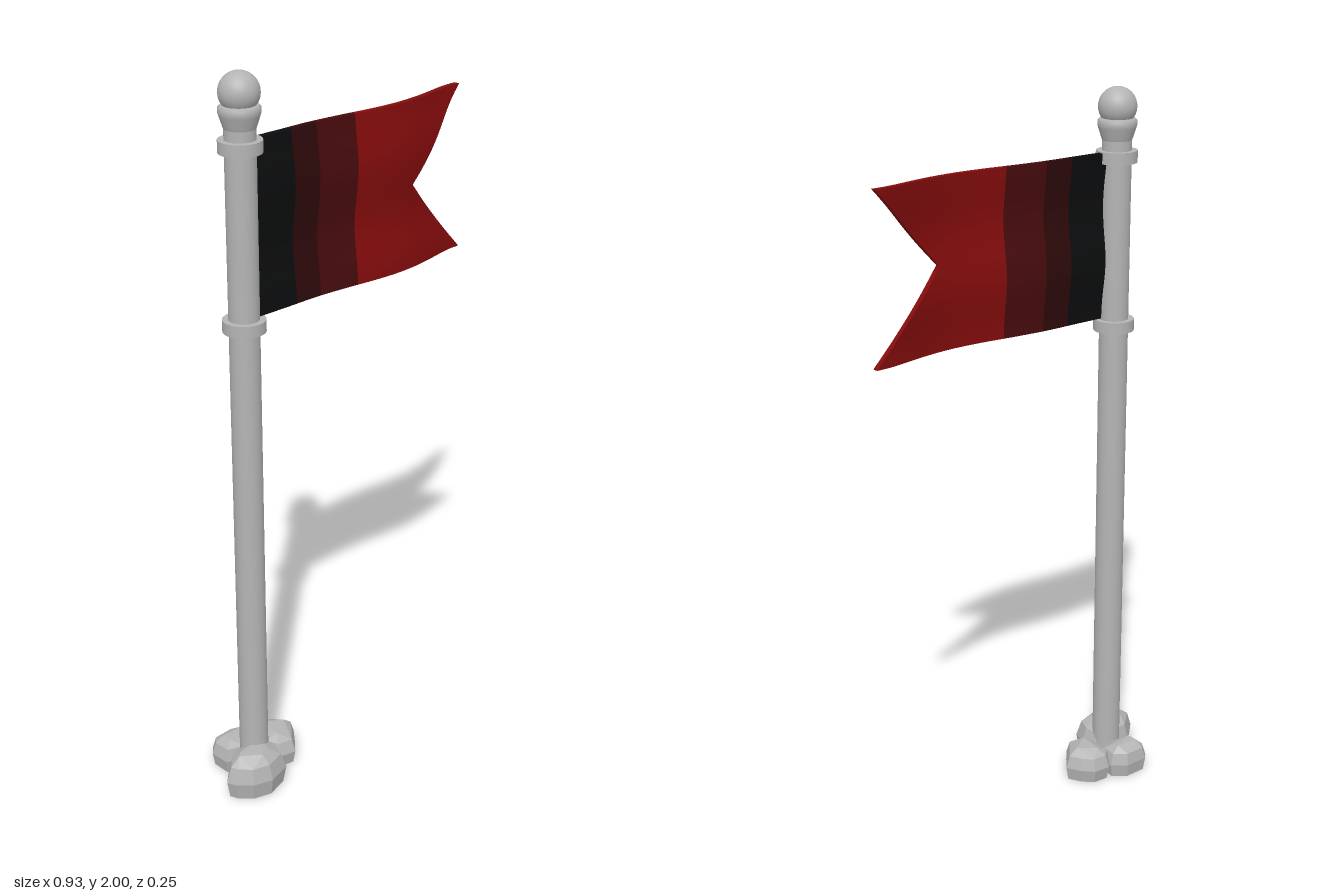
import * as THREE from 'three';
import { ConvexGeometry } from 'three/addons/geometries/ConvexGeometry.js';

const mat = (name, color) => {
  const m = new THREE.MeshStandardMaterial({ color });
  m.name = name;
  return m;
};

const POLE_X = -0.33, POLE_Z = 0.005;
const BOTTOM = 1.375, TOP = 1.83, THICK = 0.016;

// Centre line of the cloth, seen from above (x, z)
const wave = new THREE.SplineCurve([
  [-0.32, 0.013], [-0.2, 0.012], [-0.1, 0.01], [0, 0.016], [0.09, 0.025], [0.17, 0.029],
  [0.24, 0.025], [0.31, 0.014], [0.39, -0.004], [0.43, -0.01], [0.47, -0.011],
].map(([x, z]) => new THREE.Vector2(x, z))).getPoints(200);

function clothZ(x, y) {
  let i = 1;
  while (i < wave.length - 1 && wave[i].x < x) i++;
  const a = wave[i - 1], b = wave[i];
  const z = a.y + (b.y - a.y) * (x - a.x) / (b.x - a.x);
  return z + 0.007 * Math.cos((2 * Math.PI * (y - 1.69)) / 0.31);
}

// A cloth strip from x0 to x1(y), bent from a box
function strip(x0, x1, columns) {
  const g = new THREE.BoxGeometry(1, 1, 1, columns, 24, 1);
  const p = g.attributes.position;
  for (let i = 0; i < p.count; i++) {
    const v = p.getY(i) * 2;
    const y = (BOTTOM + TOP) / 2 + v * (TOP - BOTTOM) / 2;
    const x = x0 + (x1(Math.abs(v)) - x0) * (p.getX(i) + 0.5);
    p.setXYZ(i, x, y, clothZ(x, y) + p.getZ(i) * THICK);
  }
  g.computeVertexNormals();
  return g;
}

// A boulder: an outline (x, z) widened at mid height and narrowed at the top
function rock(outline, height) {
  const n = outline.length;
  const cx = outline.reduce((s, p) => s + p[0], 0) / n;
  const cz = outline.reduce((s, p) => s + p[1], 0) / n;
  const points = [];
  for (const [level, scale] of [[0, 0.9], [0.42, 1], [0.8, 0.84], [1, 0.5]]) {
    outline.forEach(([x, z], i) => {
      const drop = level === 1 ? 0.006 * (i % 3) : 0;
      points.push(new THREE.Vector3(cx + (x - cx) * scale, height * level - drop, cz + (z - cz) * scale));
    });
  }
  return new ConvexGeometry(points);
}

export function createModel() {
  const model = new THREE.Group();
  model.name = 'flagOnPole';
  const stone = mat('grey', 0xb4b4b4);
  const add = (name, geometry, material, x = 0, y = 0, z = 0) => {
    const mesh = new THREE.Mesh(geometry, material);
    mesh.name = name;
    mesh.position.set(x, y, z);
    model.add(mesh);
  };

  // Pole, flared neck and ball
  add('pole', new THREE.CylinderGeometry(0.04, 0.04, 1.87, 32), stone, POLE_X, 0.935, POLE_Z);
  const neck = [[0.04, 1.86], [0.043, 1.868], [0.051, 1.893], [0.053, 1.9], [0.053, 1.912], [0.047, 1.918], [0, 1.918]];
  add('neck', new THREE.LatheGeometry(neck.map(([r, y]) => new THREE.Vector2(r, y)), 32), stone, POLE_X, 0, POLE_Z);
  add('ball', new THREE.SphereGeometry(0.052, 32, 20), stone, POLE_X, 1.948, POLE_Z);

  // Rings holding the flag
  for (const [name, y] of [['upperRing', 1.817], ['lowerRing', 1.355]]) {
    add(name, new THREE.CylinderGeometry(0.056, 0.056, 0.032, 24), stone, POLE_X, y, POLE_Z);
  }

  // Cloth in four colours, the last strip with a swallow tail
  add('blackStrip', strip(-0.3, () => -0.17, 6), mat('black', 0x0c0d0e));
  add('darkStrip', strip(-0.17, () => -0.085, 5), mat('blackish red', 0x2e0a0b));
  add('maroonStrip', strip(-0.085, () => 0.04, 7), mat('maroon', 0x480b0d));
  add('swallowTail', strip(0.04, (v) => 0.245 + 0.216 * v, 20), mat('red', 0x850c0c));

  // Boulders round the foot
  add('frontRock', rock([[-0.465, 0.045], [-0.455, 0.07], [-0.42, 0.105], [-0.365, 0.122], [-0.295, 0.1],
    [-0.275, 0.05], [-0.28, 0], [-0.33, -0.02], [-0.4, -0.015], [-0.44, 0.02]], 0.116), stone);
  add('sideRock', rock([[-0.255, -0.098], [-0.205, -0.095], [-0.175, -0.065], [-0.153, -0.025], [-0.185, 0.015],
    [-0.22, 0.055], [-0.27, 0.045], [-0.29, 0], [-0.285, -0.07]], 0.092), stone);
  add('backRock', rock([[-0.395, -0.1], [-0.375, -0.123], [-0.305, -0.125], [-0.265, -0.095], [-0.27, -0.04],
    [-0.33, -0.02], [-0.395, -0.04]], 0.09), stone);

  return model;
}
